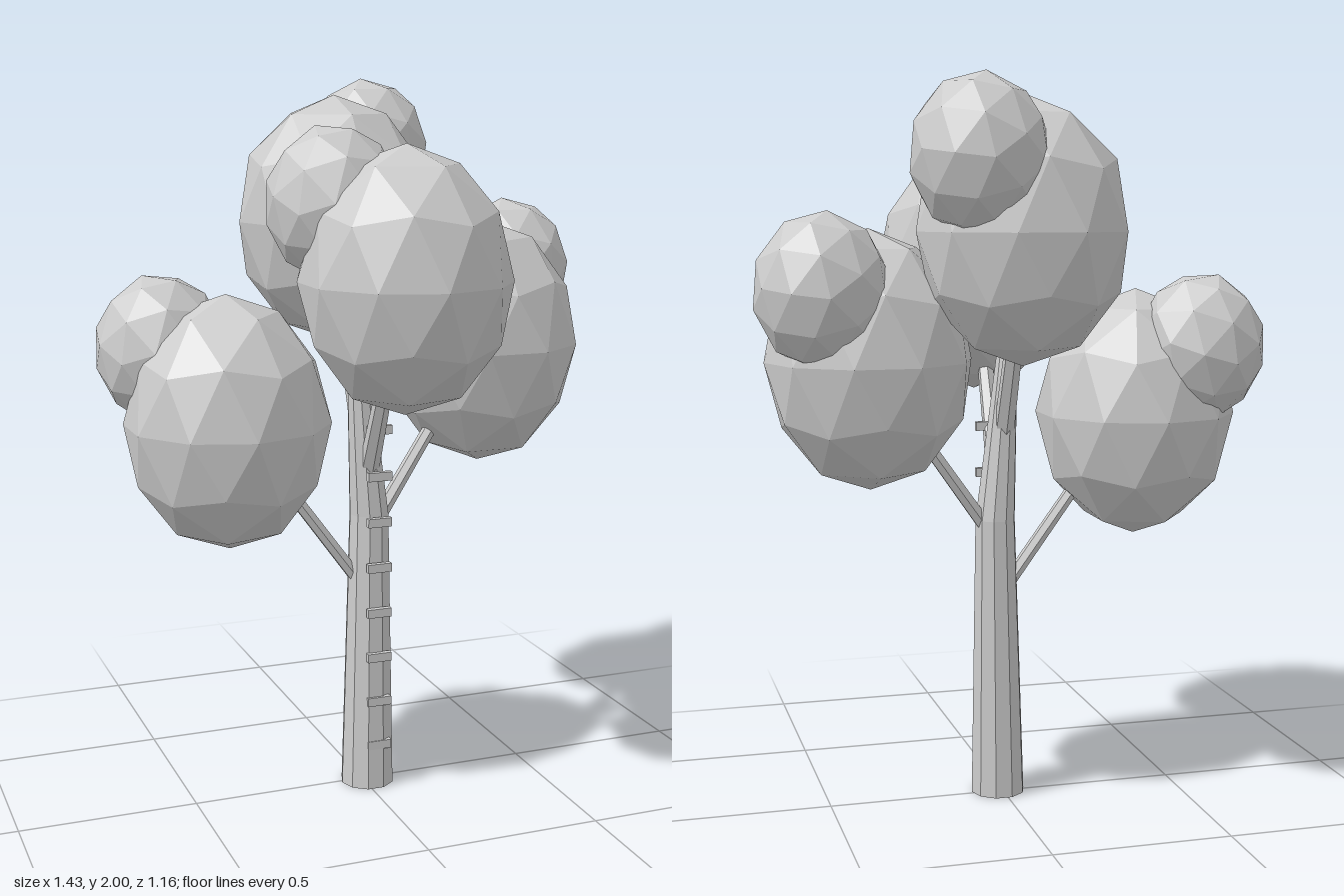
import * as THREE from 'three';

export function createModel() {
  const group = new THREE.Group();
  const grey = new THREE.MeshStandardMaterial({ color: 0xcccccc, flatShading: true });
  grey.name = 'pale grey';
  const V = (a) => new THREE.Vector3(...a);

  function add(geometry, name) {
    const mesh = new THREE.Mesh(geometry, grey);
    mesh.name = name;
    group.add(mesh);
    return mesh;
  }

  // Tapered limb between two points
  function limb(name, a, b, r0, r1, sides) {
    const from = V(a), to = V(b), dir = to.clone().sub(from);
    const mesh = add(new THREE.CylinderGeometry(r1, r0, dir.length(), sides), name);
    mesh.position.copy(from).add(to).multiplyScalar(0.5);
    mesh.quaternion.setFromUnitVectors(new THREE.Vector3(0, 1, 0), dir.normalize());
  }

  // Trunk: horizontal rings joined by a bend
  const sides = 10;
  const rings = [ // x, y, z, radius
    [0.012, 0, 0.011, 0.077],
    [0.023, 0.8, -0.004, 0.057],
    [-0.008, 1.2, 0, 0.034],
    [-0.025, 1.38, 0.01, 0.025],
  ];
  const positions = [], index = [];
  for (const [x, y, z, r] of rings)
    for (let i = 0; i < sides; i++) {
      const a = (i / sides) * Math.PI * 2;
      positions.push(x + r * Math.cos(a), y, z + r * Math.sin(a));
    }
  for (let k = 0; k < rings.length - 1; k++)
    for (let i = 0; i < sides; i++) {
      const j = (i + 1) % sides, p = k * sides, q = p + sides;
      index.push(p + i, q + i, q + j, p + i, q + j, p + j);
    }
  const last = (rings.length - 1) * sides;
  for (let i = 1; i < sides - 1; i++) {
    index.push(0, i, i + 1);
    index.push(last, last + i + 1, last + i);
  }
  const trunk = new THREE.BufferGeometry();
  trunk.setAttribute('position', new THREE.Float32BufferAttribute(positions, 3));
  trunk.setIndex(index);
  trunk.computeVertexNormals();
  add(trunk, 'trunk');

  // Branches reaching into the foliage
  limb('leftBranch', [0.03, 0.55, 0], [-0.3, 1.0, 0.005], 0.02, 0.018, 6);
  limb('rightBranch', [0.03, 0.75, -0.005], [0.31, 1.14, -0.06], 0.022, 0.018, 6);
  limb('frontBranch', [0.015, 0.9, 0.0], [0.005, 1.32, 0.22], 0.03, 0.02, 6);
  limb('backBranch', [0, 1.02, 0], [0.005, 1.45, -0.2], 0.03, 0.022, 6);

  // Ladder rungs up the front of the trunk
  for (let i = 0; i < 8; i++)
    add(new THREE.BoxGeometry(0.07, 0.025, 0.017), 'rung').position.set(0.025, 0.13 + i * 0.132, 0.072);

  // Foliage: faceted balls with a corner at the top, stretched upward
  function ball(name, position, rx, ry, turn, tilt = 0) {
    const g = new THREE.IcosahedronGeometry(1, 1);
    g.rotateX(-Math.atan((1 + Math.sqrt(5)) / 2));
    g.rotateY(Math.PI / 2); // a corner of the upper ring faces +x
    g.rotateY(turn);
    g.rotateX(tilt);
    g.rotateZ(tilt);
    g.scale(rx, ry, rx);
    add(g, name).position.set(...position);
  }
  const quarter = -Math.PI / 2;
  ball('leftFoliage', [-0.39, 1.09, 0.005], 0.282, 0.351, 0);
  ball('rightFoliage', [0.39, 1.262, -0.075], 0.282, 0.351, quarter);
  ball('frontFoliage', [0.01, 1.49, 0.294], 0.282, 0.351, 0);
  ball('backFoliage', [0.018, 1.606, -0.272], 0.284, 0.351, quarter);
  ball('leftSmallFoliage', [-0.54, 1.284, -0.12], 0.18, 0.206, 0, 0.4);
  ball('rightSmallFoliage', [0.535, 1.455, -0.2], 0.18, 0.206, quarter, 0.4);
  ball('frontSmallFoliage', [-0.143, 1.685, 0.167], 0.18, 0.206, 0, 0.4);
  ball('backSmallFoliage', [0.167, 1.797, -0.4], 0.18, 0.206, quarter, 0.4);

  return group;
}
